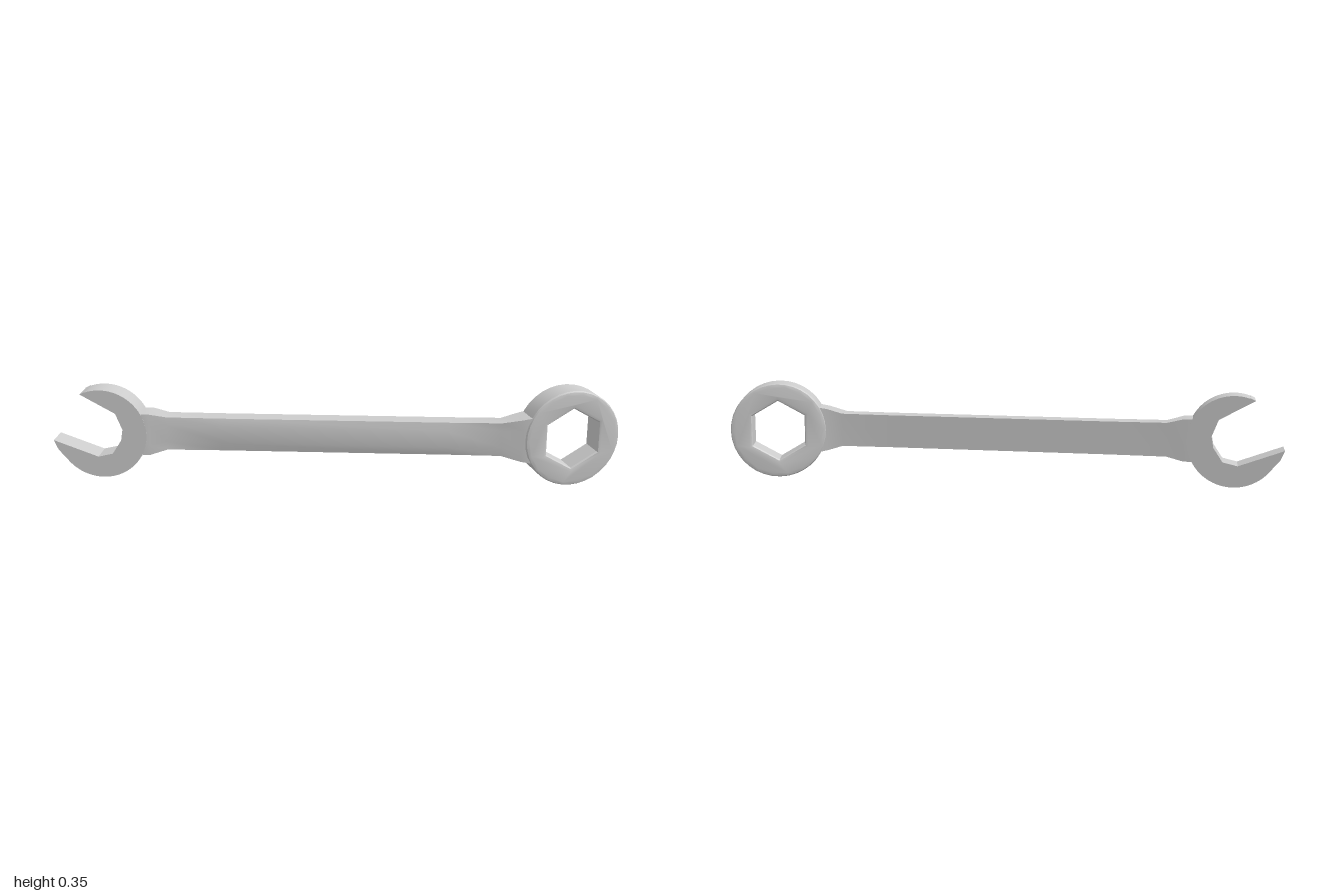
import * as THREE from 'three';
import { toCreasedNormals } from 'three/addons/utils/BufferGeometryUtils.js';

const MID = 0.173; // height of the centre line
const TILT = 0.262; // tilt of the ring end
const RING = { x: 0.823, z: -0.003 };

// Cross-section of the shaft: flat back, slightly raised panel on the front
function section({ x, h, z0, z1, bulge = 0, lean = 0 }) {
  const outline = [[-h, z0], [h, z0], [h, z1], [0.5 * h, z1 + bulge], [-0.5 * h, z1 + bulge], [-h, z1]];
  return outline.map(([y, z]) => [x + lean * z, MID + y, z]);
}

// Skin a row of cross-sections and cap both ends
function loft(rings) {
  const n = rings[0].length;
  const index = [];
  for (let i = 0; i < rings.length - 1; i++) {
    for (let j = 0; j < n; j++) {
      const a = i * n + j, b = i * n + (j + 1) % n;
      index.push(a, b, b + n, a, b + n, a + n);
    }
  }
  const last = (rings.length - 1) * n;
  for (let j = 1; j < n - 1; j++) {
    index.push(0, j + 1, j, last, last + j, last + j + 1);
  }
  const geometry = new THREE.BufferGeometry();
  geometry.setAttribute('position', new THREE.Float32BufferAttribute(rings.flat(2), 3));
  geometry.setIndex(index);
  return geometry;
}

export function createModel() {
  const model = new THREE.Group();
  model.name = 'combinationWrench';
  const material = new THREE.MeshStandardMaterial({ color: 0xcccccc, side: THREE.DoubleSide });
  const add = (geometry, name) => {
    const mesh = new THREE.Mesh(toCreasedNormals(geometry, 0.45), material);
    mesh.name = name;
    model.add(mesh);
    return mesh;
  };

  // Shaft with a flared neck at each end
  add(loft([
    { x: -0.7, h: 0.075, z0: 0.001, z1: 0.089 },
    { x: -0.655, h: 0.075, z0: 0.001, z1: 0.089 },
    { x: -0.595, h: 0.06, z0: 0.005, z1: 0.07 },
    { x: -0.4, h: 0.059, z0: 0.005, z1: 0.07, bulge: 0.008 },
    { x: 0.4, h: 0.059, z0: 0.005, z1: 0.07, bulge: 0.008 },
    { x: 0.585, h: 0.06, z0: 0.005, z1: 0.07 },
    { x: 0.638, h: 0.076, z0: -0.002, z1: 0.084, lean: 0.2 },
    { x: 0.678, h: 0.084, z0: -0.012, z1: 0.08, lean: 0.26 },
  ].map(section)), 'shaft');

  // Open jaw: round head with an angled slot
  const jaw = new THREE.Shape();
  jaw.moveTo(-0.896, 0.318);
  jaw.lineTo(-0.878, 0.327);
  jaw.absarc(-0.826, MID, 0.161, 1.9, -2.5, true);
  jaw.lineTo(-0.985, 0.112);
  for (const [x, y] of [[-1, 0.147], [-0.842, 0.088], [-0.79, 0.1], [-0.757, 0.15],
    [-0.75, 0.19], [-0.773, 0.249]]) jaw.lineTo(x, y);
  jaw.closePath();
  add(new THREE.ExtrudeGeometry(jaw, { depth: 0.09, bevelEnabled: false, curveSegments: 28 }), 'openJaw');

  // Ring end: round collar with a hexagonal hole, tilted backwards
  const collar = new THREE.Shape();
  collar.absarc(0, 0, 0.161, 0, Math.PI * 2);
  const hole = new THREE.Path();
  for (let i = 0; i < 6; i++) {
    const a = Math.PI / 2 - i * Math.PI / 3;
    hole[i ? 'lineTo' : 'moveTo'](0.123 * Math.cos(a), 0.123 * Math.sin(a));
  }
  hole.closePath();
  collar.holes.push(hole);
  const ring = new THREE.ExtrudeGeometry(collar, {
    depth: 0.088, bevelThickness: 0.008, bevelSize: 0.012, bevelSegments: 2, curveSegments: 18,
  });
  ring.translate(0, 0, -0.044);
  const ringMesh = add(ring, 'ringEnd');
  ringMesh.position.set(RING.x, MID, RING.z);
  ringMesh.rotation.y = TILT;

  return model;
}
